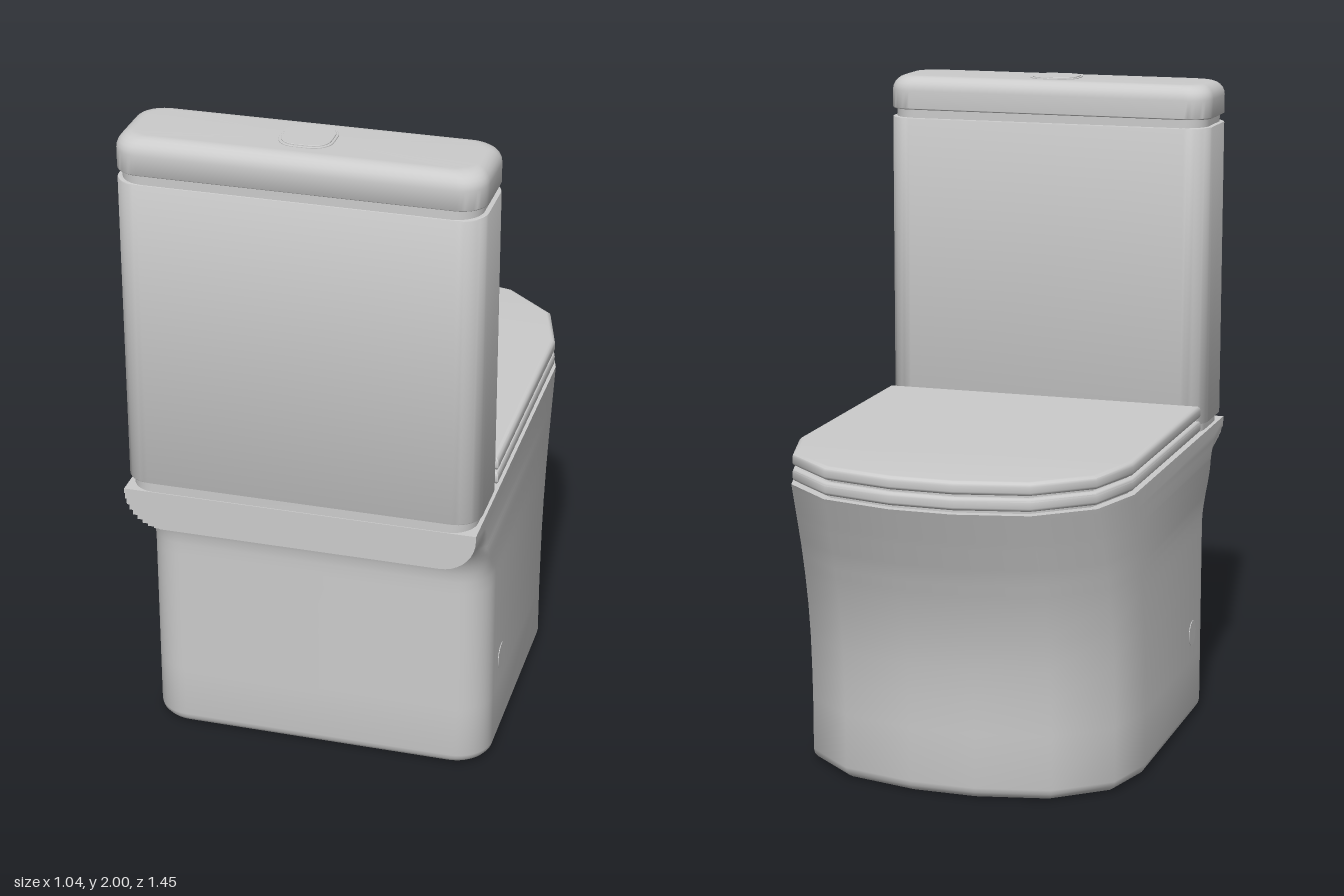
import * as THREE from 'three';
import { toCreasedNormals } from 'three/addons/utils/BufferGeometryUtils.js';

const { lerp, smoothstep } = THREE.MathUtils;
const material = new THREE.MeshStandardMaterial({ color: 0xcccccc });

// Skin a stack of equal-length loops and cap both ends
function loft(loops) {
  const n = loops[0].length, pos = [], idx = [];
  loops.forEach(loop => loop.forEach(p => pos.push(...p)));
  for (let k = 0; k < loops.length - 1; k++) {
    for (let i = 0; i < n; i++) {
      const a = k * n + i, b = k * n + (i + 1) % n;
      idx.push(a, b, b + n, a, b + n, a + n);
    }
  }
  const cap = (loop, start, up) => {
    const c = pos.length / 3;
    pos.push(...[0, 1, 2].map(j => loop.reduce((s, p) => s + p[j], 0) / n));
    for (let i = 0; i < n; i++) {
      const a = start + i, b = start + (i + 1) % n;
      idx.push(c, up ? a : b, up ? b : a);
    }
  };
  cap(loops[0], 0, false);
  cap(loops[loops.length - 1], (loops.length - 1) * n, true);
  const g = new THREE.BufferGeometry();
  g.setAttribute('position', new THREE.Float32BufferAttribute(pos, 3));
  g.setIndex(idx);
  return toCreasedNormals(g, 0.7);
}

// Outlines are [x, z] lists, counter-clockwise from above
function roundedRect(hw, z0, z1, r, steps = 10) {
  const corners = [[hw - r, z0 + r], [-hw + r, z0 + r], [-hw + r, z1 - r], [hw - r, z1 - r]];
  return corners.flatMap(([cx, cz], k) => Array.from({ length: steps + 1 }, (_, i) => {
    const a = (k + i / steps) * Math.PI / 2;
    return [cx + r * Math.cos(a), cz - r * Math.sin(a)];
  }));
}

// Complete an outline from its +x half
const mirrored = half => [...half, ...[...half].reverse().map(([x, z]) => [-x, z])];

function inset(outline, d) {
  const xs = outline.map(p => p[0]), zs = outline.map(p => p[1]);
  const hx = Math.max(...xs), z0 = Math.min(...zs), z1 = Math.max(...zs);
  const c = (z0 + z1) / 2, fx = 1 - d / hx, fz = 1 - 2 * d / (z1 - z0);
  return outline.map(([x, z]) => [x * fx, c + (z - c) * fz]);
}

const atHeight = (outline, y) => outline.map(([x, z]) => [x, y, z]);

// Slab with rounded lower and upper edges
function slab(outline, y0, y1, rBottom, rTop, steps = 5) {
  const loops = [atHeight(inset(outline, rBottom + 0.003), y0)];
  for (let i = 0; i <= steps; i++) {
    const a = (i / steps) * Math.PI / 2;
    loops.push(atHeight(inset(outline, rBottom * (1 - Math.sin(a))), y0 + rBottom * (1 - Math.cos(a))));
  }
  for (let i = 0; i <= steps; i++) {
    const a = (i / steps) * Math.PI / 2;
    loops.push(atHeight(inset(outline, rTop * (1 - Math.cos(a))), y1 - rTop * (1 - Math.sin(a))));
  }
  loops.push(atHeight(inset(outline, rTop + 0.003), y1));
  return loft(loops);
}

// Pedestal: short nose at the foot, full nose at the rim, overhanging ledge at the back
const HALF = 0.52, CORNER = 0.105, UNDER = 0.785;
const footNose = [[HALF, -0.2], [0.475, -0.37], [0.32, -0.5], [0.1, -0.55]];
const rimNose = [[HALF, -0.35], [0.465, -0.54], [0.31, -0.675], [0.095, -0.725]];
const cornerSteps = Array.from({ length: 10 }, (_, i) => {
  const a = (i / 9) * Math.PI / 2;
  return { x: HALF - CORNER * (1 - Math.sin(a)), drop: CORNER * (1 - Math.cos(a)) };
});

// Back face depth: straight, then a concave sweep out to the ledge
function backDepth(y) {
  if (y >= UNDER - 1e-6) return 0.725;
  const t = Math.max(0, (y - 0.64) / (UNDER - 0.64));
  return 0.555 + 0.12 * (1 - Math.sqrt(1 - t * t));
}

function pedestalSection(y, flare) {
  const upright = 1 - smoothstep(y, 0.62, UNDER);
  const back = cornerSteps.map(({ x, drop }) => [x, backDepth(y - drop) - drop * upright]);
  const nose = footNose.map(([x, z], i) => [lerp(x, rimNose[i][0], flare), lerp(z, rimNose[i][1], flare)]);
  return mirrored([...back, ...nose]);
}

function pedestalGeometry() {
  const profile = [[0.2, 0], [0.3, 0.03], [0.4, 0.08], [0.5, 0.18], [0.6, 0.33], [0.7, 0.52], [0.8, 0.75], [0.905, 1]];
  const flareAt = y => {
    const k = Math.max(1, profile.findIndex(p => p[0] >= y - 1e-6));
    const [[y0, f0], [y1, f1]] = [profile[k - 1], profile[k]];
    return lerp(f0, f1, Math.max(0, (y - y0) / (y1 - y0)));
  };
  const foot = pedestalSection(0, 0);
  const loops = [atHeight(inset(foot, 0.04), 0)];
  for (let i = 0; i < 5; i++) {
    const a = (i / 4) * Math.PI / 2;
    loops.push(atHeight(inset(foot, 0.035 * (1 - Math.sin(a))), 0.035 * (1 - Math.cos(a))));
  }
  const levels = [
    0.2, 0.3, 0.4, 0.5, 0.6, 0.64, 0.67, 0.7, 0.725, 0.745, 0.76, 0.772, 0.78, 0.7845,
    ...cornerSteps.map(s => UNDER + s.drop), 0.905,
  ];
  levels.forEach(y => loops.push(atHeight(pedestalSection(y, flareAt(y)), y)));
  return loft(loops);
}

export function createModel() {
  const model = new THREE.Group();
  const add = (name, geometry) => {
    const mesh = new THREE.Mesh(geometry, material);
    mesh.name = name;
    model.add(mesh);
    return mesh;
  };

  add('pedestal', pedestalGeometry());

  // Seat and cover
  const cover = inset(mirrored([[HALF, 0.44], ...rimNose]), 0.004);
  add('seatSpacer', slab(inset(cover, 0.02), 0.9, 0.965, 0.002, 0.002, 1));
  add('seat', slab(cover, 0.914, 0.952, 0.01, 0.01, 3));
  add('seatCover', slab(cover, 0.96, 1.0, 0.01, 0.014, 3));

  // Tank, with narrow joints below and above
  const tank = roundedRect(0.522, 0.44, 0.725, 0.075);
  const joint = roundedRect(0.508, 0.443, 0.722, 0.075);
  add('tankFoot', slab(joint, 0.9, 0.94, 0.001, 0.001, 1));
  add('tank', slab(tank, 0.932, 1.865, 0.004, 0.004, 2));
  add('lidJoint', slab(joint, 1.86, 1.895, 0.001, 0.001, 1));
  add('tankLid', slab(tank, 1.89, 1.994, 0.004, 0.045, 6));

  // Flush button with a thin surround
  add('buttonSurround', slab(roundedRect(0.077, 0.498, 0.652, 0.055), 1.985, 1.997, 0.001, 0.001, 1));
  add('flushButton', slab(roundedRect(0.07, 0.505, 0.645, 0.049), 1.985, 2.0, 0.001, 0.001, 1));

  // Fixing caps on both sides
  for (const side of [1, -1]) {
    const cap = add(side > 0 ? 'leftFixingCap' : 'rightFixingCap', new THREE.CylinderGeometry(0.04, 0.04, 0.02, 24));
    cap.rotation.z = Math.PI / 2;
    cap.position.set(side * 0.512, 0.285, 0.355);
  }
  return model;
}
